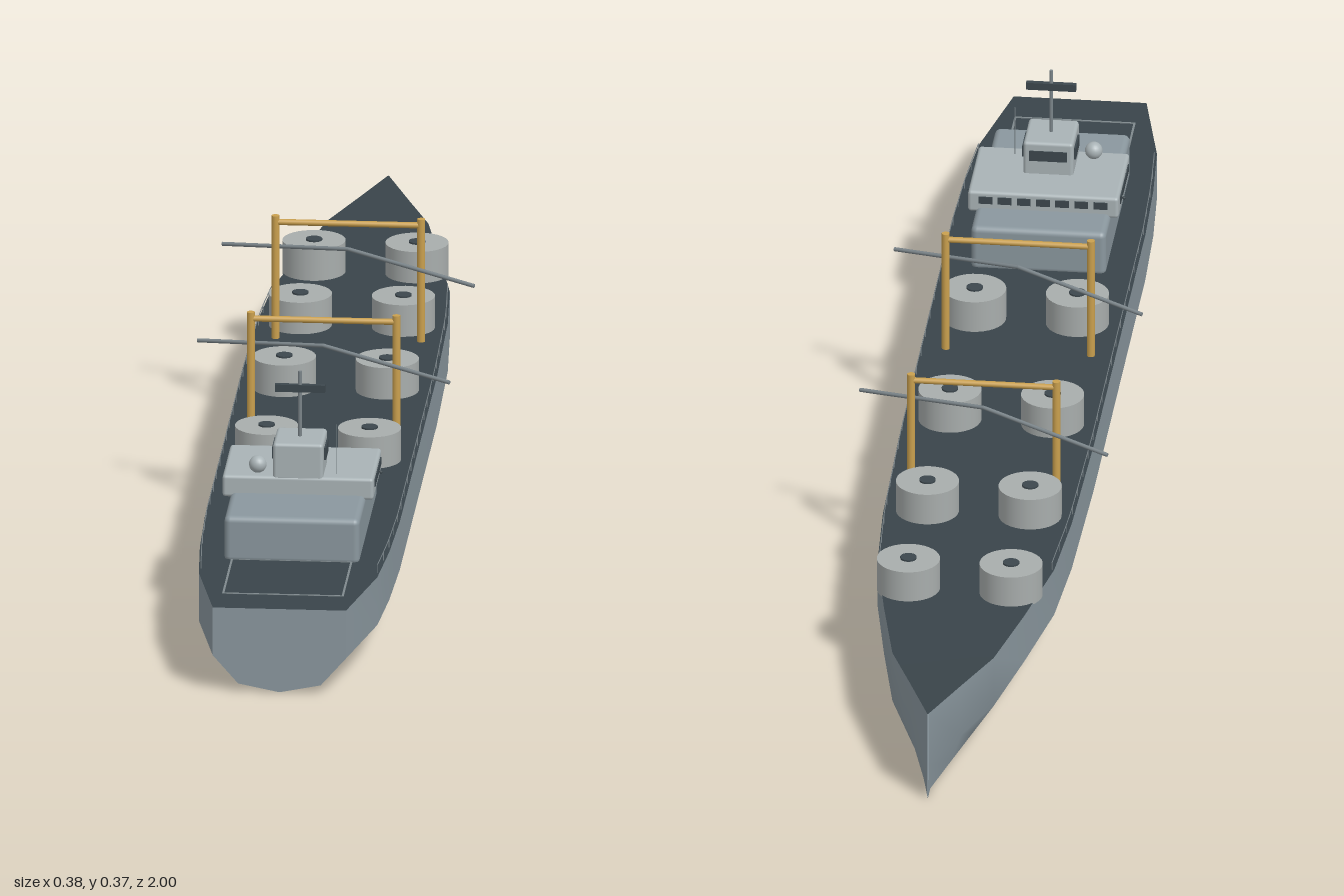
import * as THREE from 'three';
import { toCreasedNormals } from 'three/addons/utils/BufferGeometryUtils.js';
import { RoundedBoxGeometry } from 'three/addons/geometries/RoundedBoxGeometry.js';

const paint = (color, side = THREE.FrontSide) => new THREE.MeshStandardMaterial({ color, side });
const hullPaint = paint(0x8a979e, THREE.DoubleSide);
const deckPaint = paint(0x39444a, THREE.DoubleSide);
const housePaint = paint(0x8a979e);
const bridgePaint = paint(0xa9b3b6);
const tankPaint = paint(0xa8adac);
const darkPaint = paint(0x3c474d);
const yellowPaint = paint(0xcaa04e);
const steelPaint = paint(0x7c868b);
const markPaint = paint(0x7f898d);

const DECK = 0.13;

function add(parent, name, geometry, material, x = 0, y = 0, z = 0) {
  const mesh = new THREE.Mesh(geometry, material);
  mesh.name = name;
  mesh.position.set(x, y, z);
  parent.add(mesh);
  return mesh;
}

const box = (parent, name, material, w, h, d, x, y, z) =>
  add(parent, name, new THREE.BoxGeometry(w, h, d), material, x, y, z);

// Round bar between two points
function rod(parent, name, material, a, b, r, sides = 10) {
  const from = new THREE.Vector3(...a), to = new THREE.Vector3(...b);
  const dir = to.clone().sub(from);
  const mesh = add(parent, name, new THREE.CylinderGeometry(r, r, dir.length(), sides), material);
  mesh.position.copy(from).add(to).multiplyScalar(0.5);
  mesh.quaternion.setFromUnitVectors(new THREE.Vector3(0, 1, 0), dir.normalize());
  return mesh;
}

// Skin a row of cross-sections, each a list of [x, y, z]
function loft(sections) {
  const n = sections[0].length, index = [];
  for (let i = 0; i < sections.length - 1; i++)
    for (let j = 0; j < n - 1; j++) {
      const a = i * n + j, b = a + 1, c = a + n, d = c + 1;
      index.push(a, c, b, b, c, d);
    }
  const g = new THREE.BufferGeometry();
  g.setAttribute('position', new THREE.Float32BufferAttribute(sections.flat(2), 3));
  g.setIndex(index);
  return toCreasedNormals(g, 0.65);
}

// Hull stations from bow to stern: z, half width, deck height
const stations = [
  [-1, 0.0008, 0.141], [-0.9, 0.037, 0.138], [-0.8, 0.074, 0.135], [-0.65, 0.103, 0.131],
  [-0.5, 0.129, 0.13], [-0.35, 0.138, 0.13], [-0.1, 0.142, 0.13], [0.3, 0.142, 0.13],
  [0.58, 0.142, 0.13], [0.72, 0.138, 0.13], [0.84, 0.13, 0.13], [1, 0.097, 0.13],
];
const halfWidthAt = (z) => {
  const i = stations.findIndex((s) => s[0] >= z);
  const [a, b] = [stations[i - 1], stations[i]];
  return THREE.MathUtils.mapLinear(z, a[0], b[0], a[1], b[1]);
};
const hullSection = (w, top) => [
  [w, top], [w, 0.057], [0.62 * w, 0.015], [0, 0.003], [-0.62 * w, 0.015], [-w, 0.057], [-w, top],
];

function createHull() {
  const hull = new THREE.Group();
  hull.name = 'hull';
  add(hull, 'hullSides', loft(stations.map(([z, w, t]) => hullSection(w, t).map(([x, y]) => [x, y, z]))), hullPaint);
  add(hull, 'deck', loft(stations.map(([z, w, t]) => [[-w, t, z], [w, t, z]])), deckPaint);
  const transom = new THREE.Shape(hullSection(0.097, DECK).map((p) => new THREE.Vector2(...p)));
  add(hull, 'transom', new THREE.ShapeGeometry(transom), hullPaint, 0, 0, 1);
  return hull;
}

function createTank(x, z) {
  const tank = new THREE.Group();
  tank.name = 'cargoTank';
  tank.position.set(x, DECK, z);
  add(tank, 'tankBody', new THREE.CylinderGeometry(0.046, 0.046, 0.05, 32), tankPaint, 0, 0.023, 0);
  add(tank, 'tankHatch', new THREE.CylinderGeometry(0.012, 0.012, 0.004, 20), darkPaint, 0, 0.0485, 0);
  return tank;
}

function createGantry(z) {
  const gantry = new THREE.Group();
  gantry.name = 'gantry';
  gantry.position.z = z;
  for (const s of [-1, 1]) {
    rod(gantry, 'gantryPost', yellowPaint, [s * 0.106, DECK - 0.005, 0], [s * 0.106, 0.317, 0], 0.0058, 12);
    rod(gantry, 'boom', steelPaint, [0, 0.268, 0], [s * 0.19, 0.244, s * 0.084], 0.003, 8);
  }
  rod(gantry, 'crossBeam', yellowPaint, [-0.106, 0.307, 0], [0.106, 0.307, 0], 0.0045);
  return gantry;
}

function createSuperstructure() {
  const house = new THREE.Group();
  house.name = 'superstructure';
  add(house, 'deckhouse', new RoundedBoxGeometry(0.197, 0.07, 0.325, 3, 0.009), housePaint, 0, 0.16, 0.612);
  add(house, 'bridge', new RoundedBoxGeometry(0.22, 0.033, 0.148, 3, 0.005), bridgePaint, 0, 0.2045, 0.587);
  add(house, 'pilotHouse', new RoundedBoxGeometry(0.073, 0.056, 0.08, 3, 0.005), bridgePaint, 0, 0.243, 0.62);

  // Windows along the forward and side faces
  for (let i = 0; i < 7; i++)
    box(house, 'bridgeWindow', darkPaint, 0.02, 0.011, 0.003, (i - 3) * 0.028, 0.208, 0.5128);
  box(house, 'pilotHouseWindow', darkPaint, 0.055, 0.016, 0.003, 0, 0.25, 0.58);
  for (const s of [-1, 1]) {
    for (let i = 0; i < 4; i++)
      box(house, 'bridgeSideWindow', darkPaint, 0.003, 0.011, 0.023, s * 0.11, 0.208, 0.545 + i * 0.028);
    box(house, 'pilotHouseSideWindow', darkPaint, 0.005, 0.018, 0.045, s * 0.0368, 0.25, 0.615);
    add(house, 'sideLight', new THREE.SphereGeometry(0.0025, 8, 6), darkPaint, s * 0.113, 0.199, 0.56);
  }

  // Mast, radar bar, dome and whip aerial
  rod(house, 'mast', steelPaint, [0, 0.265, 0.62], [0, 0.37, 0.62], 0.0028);
  box(house, 'radarBar', darkPaint, 0.073, 0.011, 0.008, 0, 0.344, 0.62);
  add(house, 'radome', new THREE.SphereGeometry(0.0128, 20, 14), bridgePaint, -0.06, 0.233, 0.64);
  rod(house, 'aerial', steelPaint, [0.055, 0.22, 0.64], [0.055, 0.296, 0.64], 0.0007, 6);
  return house;
}

function createRailing(side) {
  const rail = new THREE.Group();
  rail.name = 'railing';
  const points = [];
  for (let i = 0; i <= 22; i++) {
    const z = -0.5 + i * 0.06;
    const x = side * (halfWidthAt(z) - 0.003);
    points.push(new THREE.Vector3(x, 0.142, z));
    rod(rail, 'railPost', steelPaint, [x, DECK - 0.002, z], [x, 0.142, z], 0.0007, 5);
  }
  add(rail, 'handrail', new THREE.TubeGeometry(new THREE.CatmullRomCurve3(points), 60, 0.0007, 5), steelPaint);
  return rail;
}

// Painted border of the landing pad
function createLandingPad() {
  const pad = new THREE.Group();
  pad.name = 'landingPad';
  for (const s of [-1, 1]) {
    box(pad, 'padSideLine', markPaint, 0.003, 0.002, 0.16, s * 0.087, DECK, 0.853);
    box(pad, 'padEndLine', markPaint, 0.177, 0.002, 0.003, 0, DECK, 0.853 + s * 0.08);
  }
  return pad;
}

export function createModel() {
  const ship = new THREE.Group();
  ship.name = 'cargoShip';
  ship.add(createHull(), createSuperstructure(), createLandingPad());
  for (const z of [0.29, -0.035, -0.33, -0.58])
    for (const s of [-1, 1]) ship.add(createTank(s * 0.075, z));
  for (const z of [0.188, -0.265]) ship.add(createGantry(z));
  for (const s of [-1, 1]) ship.add(createRailing(s));
  return ship;
}
